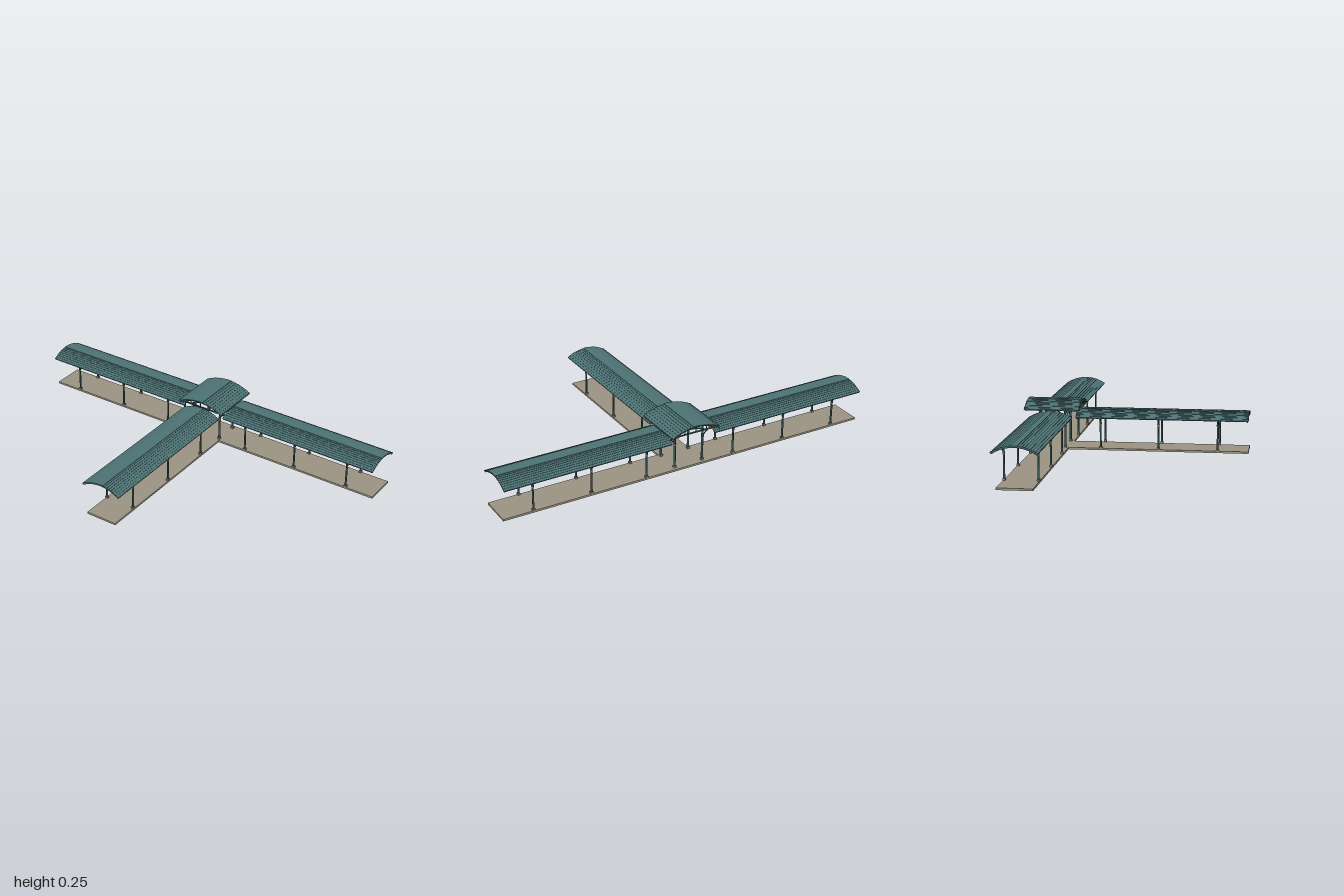
import * as THREE from 'three';

const mat = (name, color) => {
  const m = new THREE.MeshStandardMaterial({ color });
  m.name = name;
  return m;
};

export function createModel() {
  const roofTeal = mat('roofTeal', 0x4c7173);
  const frameTeal = mat('frameTeal', 0x36565a);
  const paving = mat('paving', 0x999282);
  const stone = mat('stone', 0x82796d);
  const brass = mat('brass', 0xb5843f);

  const root = new THREE.Group();
  root.name = 'coveredWalkway';

  function add(parent, name, geometry, material, x = 0, y = 0, z = 0) {
    const mesh = new THREE.Mesh(geometry, material);
    mesh.name = name;
    mesh.position.set(x, y, z);
    parent.add(mesh);
    return mesh;
  }
  const box = (parent, name, material, w, h, d, x, y, z) =>
    add(parent, name, new THREE.BoxGeometry(w, h, d), material, x, y, z);

  // Arched band extruded along z; step > 0 gives overlapping tile courses
  function archGeometry(half, edgeY, topY, thick, length, step = 0, courses = 9) {
    const rise = topY - edgeY;
    const r = (half * half + rise * rise) / (2 * rise);
    const span = Math.asin(half / r);
    const at = (a, rad) => new THREE.Vector2(Math.sin(a) * rad, topY - r + Math.cos(a) * rad);
    const pts = [];
    for (let i = -courses; i < courses; i++) {
      const a = (i / courses) * span, b = ((i + 1) / courses) * span;
      pts.push(at(a, r - (i < 0 ? 0 : step)), at(b, r - (i < 0 ? step : 0)));
    }
    for (let i = courses; i >= -courses; i--) pts.push(at((i / courses) * span, r - thick));
    const clean = pts.filter((p, i) => i === 0 || p.distanceTo(pts[i - 1]) > 1e-6);
    const g = new THREE.ExtrudeGeometry(new THREE.Shape(clean), { depth: length, bevelEnabled: false });
    return g.translate(0, 0, -length / 2);
  }

  // Post with stone foot, collar and brass lamp
  function post(parent, x, z, top, radius) {
    const g = new THREE.Group();
    g.name = 'post';
    g.position.set(x, 0, z);
    parent.add(g);
    box(g, 'foot', stone, 0.014, 0.011, 0.014, 0, 0.0145, 0);
    add(g, 'shaft', new THREE.CylinderGeometry(radius * 0.9, radius, top - 0.018, 8),
      frameTeal, 0, (top + 0.018) / 2, 0);
    add(g, 'collar', new THREE.CylinderGeometry(radius * 1.25, radius * 1.25, 0.004, 8), frameTeal, 0, 0.14, 0);
    add(g, 'lamp', new THREE.CylinderGeometry(radius * 1.2, radius * 0.9, 0.008, 8), brass, 0, 0.132, 0);
    return g;
  }

  // Curved strut from a post up to the eave
  function bracket(parent, side, z) {
    const curve = new THREE.QuadraticBezierCurve3(
      new THREE.Vector3(side * 0.081, 0.136, z),
      new THREE.Vector3(side * 0.085, 0.156, z),
      new THREE.Vector3(side * 0.105, 0.167, z));
    add(parent, 'bracket', new THREE.TubeGeometry(curve, 8, 0.0028, 5), frameTeal);
  }

  // Vaulted canopy running along its own z axis
  function canopy(name, length, frames) {
    const g = new THREE.Group();
    g.name = name;
    root.add(g);
    add(g, 'tiledRoof', archGeometry(0.11, 0.171, 0.204, 0.005, length, 0.0018), roofTeal);
    box(g, 'ridgeCap', roofTeal, 0.03, 0.003, length, 0, 0.2025, 0);
    const rib = archGeometry(0.107, 0.167, 0.2, 0.006, 0.007);
    const ends = [-length / 2 + 0.006, length / 2 - 0.006];
    for (const z of [...frames, ...ends]) add(g, 'archRib', rib, frameTeal, 0, 0, z);
    for (const side of [-1, 1]) {
      box(g, 'eaveBeam', frameTeal, 0.005, 0.006, length - 0.006, side * 0.106, 0.169, 0);
      box(g, 'purlin', frameTeal, 0.004, 0.005, length - 0.006, side * 0.06, 0.187, 0);
      for (const z of frames) {
        post(g, side * 0.08, z, 0.178, 0.0052);
        bracket(g, side, z);
      }
    }
    return g;
  }

  // T-shaped platform
  box(root, 'mainPlatform', paving, 2, 0.01, 0.17, 0, 0.005, -0.435);
  box(root, 'branchPlatform', paving, 0.17, 0.01, 0.915, 0, 0.005, 0.1075);

  // Two wings along x and one branch towards the front
  for (const side of [-1, 1]) {
    const wing = canopy('wingCanopy', 0.88, [-0.315, -0.018, 0.285].map((z) => z * side));
    wing.rotation.y = Math.PI / 2;
    wing.position.set(side * 0.56, 0, -0.435);
  }
  canopy('branchCanopy', 0.875, [-0.3125, -0.0175, 0.2825]).position.z = 0.1275;

  // Raised vault over the crossing
  const crossing = new THREE.Group();
  crossing.name = 'crossing';
  crossing.position.z = -0.43;
  root.add(crossing);
  add(crossing, 'raisedRoof', archGeometry(0.135, 0.212, 0.249, 0.005, 0.28, 0.0018), roofTeal);
  box(crossing, 'ridgeCap', roofTeal, 0.036, 0.003, 0.28, 0, 0.2485, 0);
  const bigRib = archGeometry(0.131, 0.208, 0.245, 0.007, 0.007);
  for (const z of [-0.13, -0.067, 0.067, 0.13]) {
    add(crossing, 'archRib', bigRib, frameTeal, 0, 0, z);
    box(crossing, 'tieBeam', frameTeal, 0.25, 0.006, 0.006, 0, 0.213, z);
    for (const x of [-0.06, 0, 0.06]) box(crossing, 'strut', frameTeal, 0.004, 0.024, 0.004, x, 0.224, z);
  }
  for (const side of [-1, 1]) {
    box(crossing, 'eaveBeam', frameTeal, 0.006, 0.008, 0.274, side * 0.13, 0.21, 0);
    box(crossing, 'brassBeam', brass, 0.008, 0.006, 0.26, side * 0.095, 0.207, 0);
    for (const z of [-0.067, 0.063]) {
      post(crossing, side * 0.078, z, 0.213, 0.006);
      bracket(crossing, side, z);
    }
  }
  // Lower arches on the open sides of the crossing
  const lowArch = archGeometry(0.107, 0.167, 0.2, 0.006, 0.007);
  for (const z of [-0.067, 0.063]) add(crossing, 'lowerArch', lowArch, frameTeal, 0, 0, z);

  return root;
}
